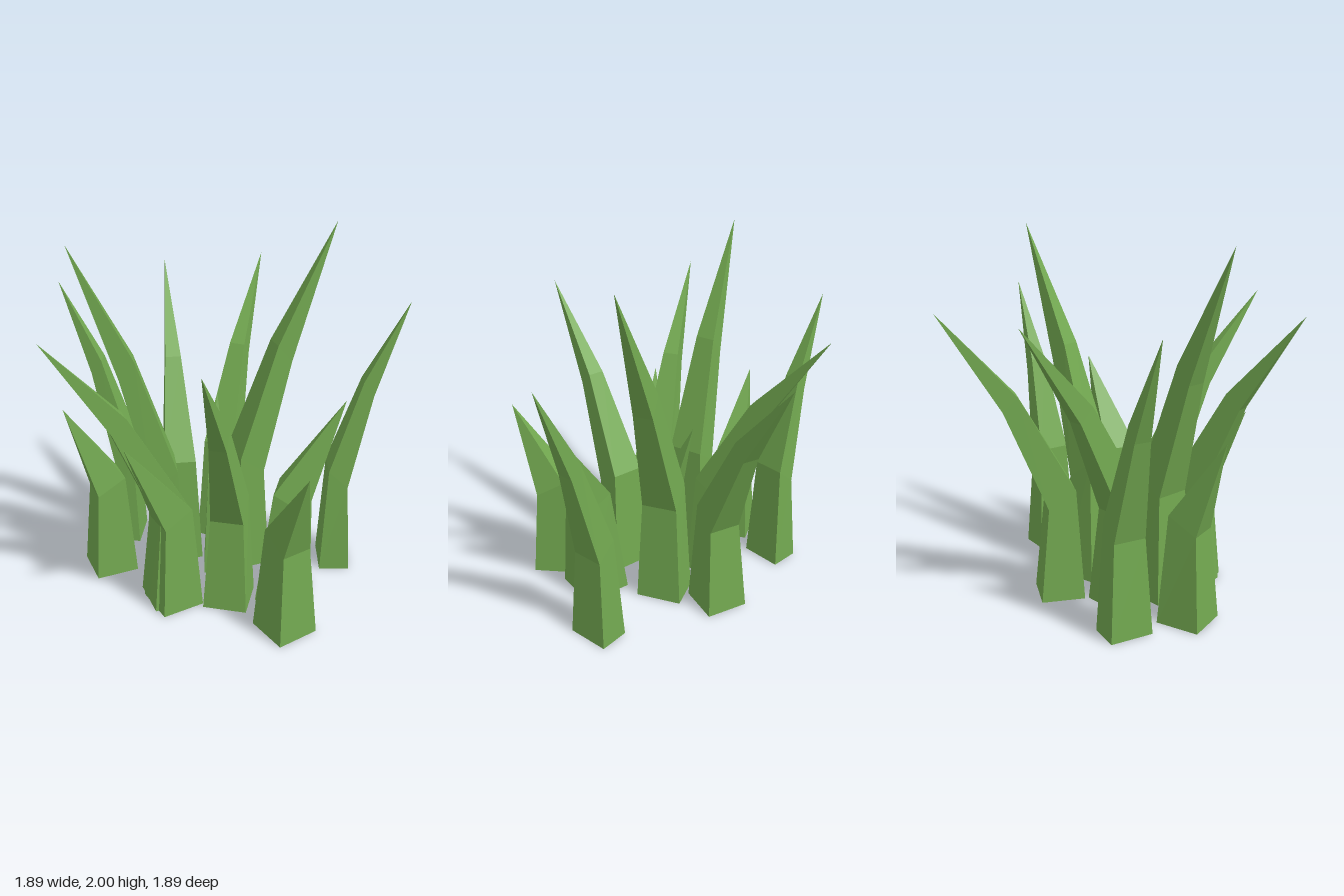
import * as THREE from 'three';

const leafGreen = new THREE.MeshStandardMaterial({ color: 0x72a850, flatShading: true });
leafGreen.name = 'leafGreen';

// Blade sizes. Each ring: [share of lean, height, tilt, half depth, half width]
const TYPES = {
  short: [[0, 0, 0, 0.12, 0.12], [0, 0.56, 0.045, 0.08, 0.085]],
  small: [[0, 0, 0, 0.075, 0.08], [0.1, 0.56, 0.04, 0.05, 0.055]],
  wide: [[0, 0, 0, 0.135, 0.135], [0.12, 0.61, 0.05, 0.09, 0.095]],
  arched: [[0, 0, 0, 0.12, 0.12], [-0.01, 0.58, 0.05, 0.075, 0.09], [0.41, 1.12, 0.04, 0.04, 0.045]],
  upright: [[0, 0, 0, 0.085, 0.12], [0, 0.58, 0.05, 0.055, 0.09], [0.42, 1.12, 0.04, 0.03, 0.045]],
  tall: [[0, 0, 0, 0.1, 0.13], [0, 0.66, 0.05, 0.07, 0.1], [0.4, 1.3, 0.05, 0.042, 0.055]],
};

// [type, base x, base z, tip x, tip y, tip z, optional base heading in degrees from +x to +z]
const BLADES = [
  ['arched', -0.09, -0.325, -0.09, 1.61, -0.95],
  ['arched', -0.25, -0.02, -0.57, 1.61, -0.58],
  ['arched', -0.12, 0.43, -0.57, 1.61, 0.86],
  ['arched', 0.2, 0.33, 0.3, 1.61, 0.94],
  ['upright', 0.63, -0.26, 0.945, 1.61, -0.385],
  ['upright', -0.62, -0.08, -0.95, 1.61, 0.01],
  ['tall', 0.135, -0.1, 0.525, 2.0, -0.385, -42],
  ['tall', -0.23, 0.23, -0.625, 1.97, 0.455],
  ['short', -0.56, 0.28, -0.74, 1.03, 0.405, 135],
  ['short', 0.57, 0.465, 0.72, 1.03, 0.64, 34],
  ['short', -0.08, 0.46, -0.23, 1.03, 0.69, 128],
  ['small', 0.03, 0.07, -0.045, 1.03, -0.11],
  ['wide', 0.46, 0.15, 0.725, 1.17, 0.01, -8],
];

// Four-sided blade: tilted rectangular rings closing in a point
function bladeGeometry(rings, x, z, tx, ty, tz, heading) {
  const a = heading === undefined ? Math.atan2(tz - z, tx - x) : THREE.MathUtils.degToRad(heading);
  const c = Math.cos(a), s = Math.sin(a);
  const pos = [], index = [];
  for (const [lean, y, tilt, depth, width] of rings) {
    for (const [u, v] of [[1, 1], [1, -1], [-1, -1], [-1, 1]]) {
      pos.push(
        x + (tx - x) * lean + u * depth * c - v * width * s,
        y - u * tilt,
        z + (tz - z) * lean + u * depth * s + v * width * c
      );
    }
  }
  const tip = rings.length * 4;
  pos.push(tx, ty, tz);
  index.push(0, 2, 1, 0, 3, 2); // underside
  for (let r = 0; r < rings.length; r++) {
    for (let i = 0; i < 4; i++) {
      const p = r * 4 + i, q = r * 4 + (i + 1) % 4;
      if (r === rings.length - 1) index.push(p, q, tip);
      else index.push(p, q, q + 4, p, q + 4, p + 4);
    }
  }
  const g = new THREE.BufferGeometry();
  g.setAttribute('position', new THREE.Float32BufferAttribute(pos, 3));
  g.setIndex(index);
  const flat = g.toNonIndexed();
  flat.computeVertexNormals();
  return flat;
}

export function createModel() {
  const tuft = new THREE.Group();
  tuft.name = 'grassTuft';
  BLADES.forEach(([type, ...spec], i) => {
    const blade = new THREE.Mesh(bladeGeometry(TYPES[type], ...spec), leafGreen);
    blade.name = `${type}Blade${i + 1}`;
    tuft.add(blade);
  });
  return tuft;
}
